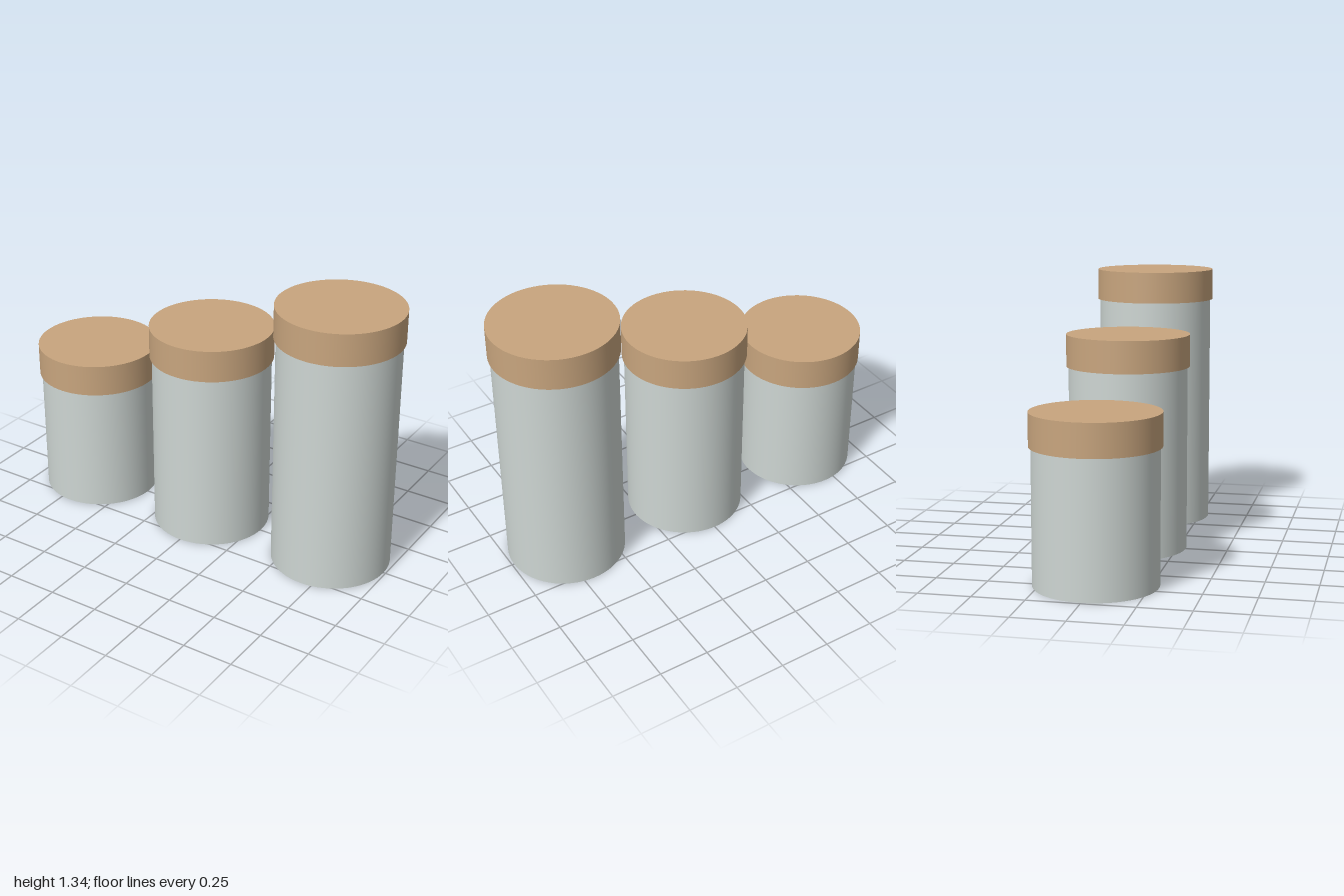
import * as THREE from 'three';

const SEGMENTS = 64;
const JAR_RADIUS = 0.293;
const LID_RADIUS = 0.304;
const LID_HEIGHT = 0.158;
const SPACING = 0.696;

export function createModel() {
  const model = new THREE.Group();
  model.name = 'canisterSet';

  const glass = new THREE.MeshStandardMaterial({ color: 0xced6d3 });
  glass.name = 'pale grey glass';
  const wood = new THREE.MeshStandardMaterial({ color: 0xc8a57e });
  wood.name = 'light wood';

  // upright cylinder resting on height y
  const addCylinder = (parent, name, radius, height, y, material) => {
    const geometry = new THREE.CylinderGeometry(radius, radius, height, SEGMENTS);
    const mesh = new THREE.Mesh(geometry, material);
    mesh.name = name;
    mesh.position.y = y + height / 2;
    parent.add(mesh);
  };

  // three canisters, rising in height towards +x
  const sizes = [['small', 0.645], ['medium', 0.912], ['large', 1.18]];
  sizes.forEach(([size, height], i) => {
    const canister = new THREE.Group();
    canister.name = `${size}Canister`;
    canister.position.x = (i - 1) * SPACING;
    addCylinder(canister, 'jar', JAR_RADIUS, height, 0, glass);
    addCylinder(canister, 'lid', LID_RADIUS, LID_HEIGHT, height, wood);
    model.add(canister);
  });

  return model;
}
